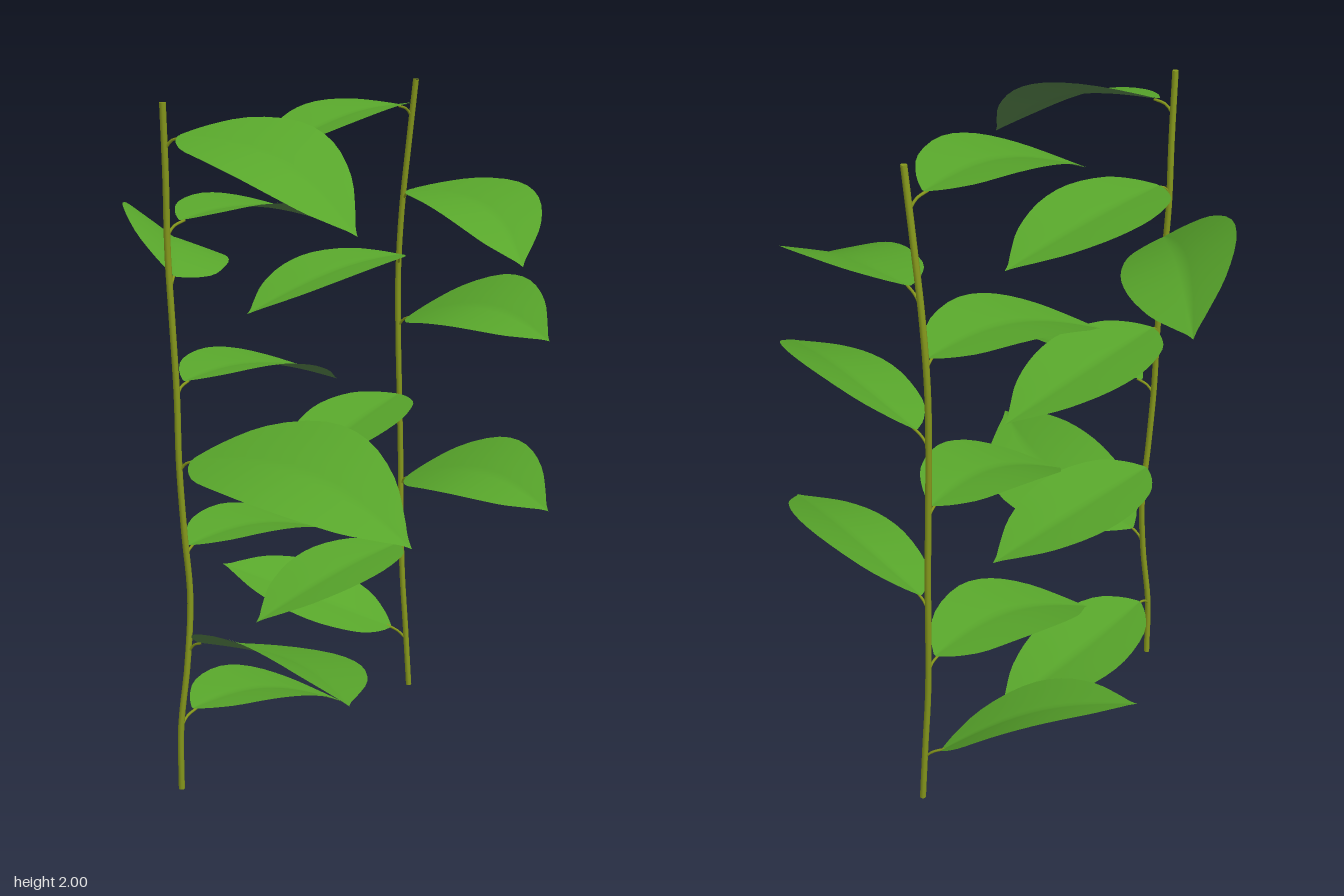
import * as THREE from 'three';

const leafTop = new THREE.MeshStandardMaterial({ color: 0x58a62b });
leafTop.name = 'leaf green';
const leafUnder = new THREE.MeshStandardMaterial({ color: 0x57844b });
leafUnder.name = 'leaf underside green';
const stemMat = new THREE.MeshStandardMaterial({ color: 0x86981c });
stemMat.name = 'stem olive';

// half-width of the blade from base to tip, as a share of the widest point
const outline = new THREE.SplineCurve([
  [0, 0.04], [0.06, 0.38], [0.18, 0.76], [0.4, 1], [0.6, 0.95], [0.78, 0.67], [0.9, 0.31], [0.96, 0.1], [1, 0],
].map(([t, w]) => new THREE.Vector2(t, w)));

// folded, arched blade along +z; upper and lower skins are separate groups
function bladeGeometry(length, halfWidth, arch, bend) {
  const rows = 24, cols = 10, pos = [], index = [];
  for (const skin of [0, 1]) {
    for (let i = 0; i <= rows; i++) {
      const p = outline.getPoint(i / rows), t = p.x;
      const w = Math.max(p.y, 0) * halfWidth;
      const bow = Math.sin(Math.PI * t);
      for (let j = 0; j <= cols; j++) {
        const u = (j / cols) * 2 - 1;
        const s = Math.sign(u) * Math.pow(Math.abs(u), 1.4); // rows crowd towards the midrib
        const fold = 0.15 * w * Math.pow(Math.abs(s), 0.9);
        pos.push(s * w + bend * bow, arch * length * bow + fold - skin * 0.002, t * length);
      }
    }
  }
  const count = (rows + 1) * (cols + 1);
  for (const skin of [0, 1]) {
    for (let i = 0; i < rows; i++) {
      for (let j = 0; j < cols; j++) {
        const a = skin * count + i * (cols + 1) + j, b = a + 1;
        const c = a + cols + 1, d = c + 1;
        if (skin === 0) index.push(a, c, b, b, c, d);
        else index.push(a, b, c, b, d, c);
      }
    }
  }
  const g = new THREE.BufferGeometry();
  g.setAttribute('position', new THREE.Float32BufferAttribute(pos, 3));
  g.setIndex(index);
  g.addGroup(0, index.length / 2, 0);
  g.addGroup(index.length / 2, index.length / 2, 1);
  g.computeVertexNormals();
  return g;
}

// blade from base to tip, rolled about its midrib, with a short stalk to the stem
function makeLeaf(stem, { base, tip, roll, half = 0.16, arch = 0.075, bend = 0.04 }) {
  const group = new THREE.Group();
  group.name = 'leaf';
  const b = new THREE.Vector3(...base), e = new THREE.Vector3(...tip);
  const z = e.clone().sub(b);
  const length = z.length();
  z.normalize();
  const x = new THREE.Vector3(0, 1, 0).cross(z).normalize();
  const y = z.clone().cross(x);

  const blade = new THREE.Mesh(bladeGeometry(length, half, arch, bend), [leafTop, leafUnder]);
  blade.name = 'leafBlade';
  blade.quaternion.setFromRotationMatrix(new THREE.Matrix4().makeBasis(x, y, z));
  blade.rotateZ(THREE.MathUtils.degToRad(roll));
  blade.position.copy(b);

  const root = stem.getPoint((b.y - 0.04) / 2);
  const mid = root.clone().lerp(b, 0.5).add(new THREE.Vector3(0, 0.006, 0));
  const end = b.clone().addScaledVector(z, 0.015);
  const stalk = new THREE.Mesh(
    new THREE.TubeGeometry(new THREE.CatmullRomCurve3([root, mid, end]), 6, 0.004, 6), stemMat);
  stalk.name = 'leafStalk';
  group.add(blade, stalk);
  return group;
}

// stem through [x, z] points at even heights from 0 to 2
function makeVine(name, points, leaves) {
  const vine = new THREE.Group();
  vine.name = name;
  const curve = new THREE.CatmullRomCurve3(
    points.map(([x, z], i) => new THREE.Vector3(x, (2 * i) / (points.length - 1), z)));
  const stem = new THREE.Mesh(new THREE.TubeGeometry(curve, 48, 0.009, 8), stemMat);
  stem.name = 'stem';
  vine.add(stem);
  // end caps
  for (const t of [0, 1]) {
    const cap = new THREE.Mesh(new THREE.CircleGeometry(0.009, 8), stemMat);
    cap.name = 'stemEnd';
    cap.position.copy(curve.getPoint(t));
    cap.rotation.x = t ? -Math.PI / 2 : Math.PI / 2;
    vine.add(cap);
  }
  for (const leaf of leaves) vine.add(makeLeaf(curve, leaf));
  return vine;
}

export function createModel() {
  const model = new THREE.Group();
  model.name = 'climbingVines';

  // leaves reaching from each vine towards the other: [base y, tip x, tip y, tip z]
  const inwardRight = [[1.68, 0.15, 1.6, -0.15], [1.23, 0.15, 1.13, -0.15],
    [0.745, 0.15, 0.64, -0.1], [0.235, 0.13, 0.08, -0.11]]
    .map(([y, ...tip]) => ({ base: [-0.45, y, -0.17], tip, roll: -1, arch: 0.07 }));
  const inwardLeft = [[1.925, -0.14, 1.82, -0.17], [1.465, -0.14, 1.36, -0.24],
    [1.015, -0.11, 0.87, -0.13], [0.51, -0.14, 0.4, -0.22]]
    .map(([y, ...tip]) => ({ base: [0.46, y, -0.18], tip, roll: 1, arch: 0.07 }));

  model.add(makeVine('rightVine', [
    [-0.51, -0.16], [-0.51, -0.155], [-0.492, -0.14], [-0.475, -0.14], [-0.487, -0.145], [-0.495, -0.15],
    [-0.492, -0.155], [-0.497, -0.16], [-0.498, -0.17], [-0.502, -0.165], [-0.51, -0.16],
  ], [
    ...inwardRight,
    { base: [-0.49, 1.915, -0.12], tip: [-0.4, 1.7, 0.44], roll: 18, arch: 0.09 },
    { base: [-0.46, 1.525, -0.19], tip: [-0.05, 1.5, -0.64], roll: 29, half: 0.17, arch: 0.085 },
    { base: [-0.48, 1.02, -0.11], tip: [-0.42, 0.93, 0.65], roll: 21, half: 0.19, bend: 0.05 },
    { base: [-0.48, 0.475, -0.1], tip: [-0.63, 0.56, 0.63], roll: -20, half: 0.185, arch: 0.05, bend: 0.07 },
  ]));

  model.add(makeVine('leftVine', [
    [0.505, -0.16], [0.503, -0.175], [0.5, -0.19], [0.502, -0.2], [0.503, -0.205], [0.5, -0.21],
    [0.497, -0.215], [0.5, -0.22], [0.503, -0.21], [0.503, -0.185], [0.505, -0.16],
  ], [
    ...inwardLeft,
    { base: [0.49, 1.67, -0.15], tip: [0.32, 1.52, 0.41], roll: 9, bend: 0.065 },
    { base: [0.5, 1.265, -0.17], tip: [0.43, 1.29, 0.43], roll: 21, bend: 0.055, arch: 0.07 },
    { base: [0.5, 0.735, -0.17], tip: [0.44, 0.77, 0.44], roll: 21, bend: 0.055, arch: 0.07 },
    { base: [0.48, 0.2, -0.22], tip: [0.12, 0.41, -0.65], roll: -14, arch: 0.055 },
  ]));
  return model;
}
